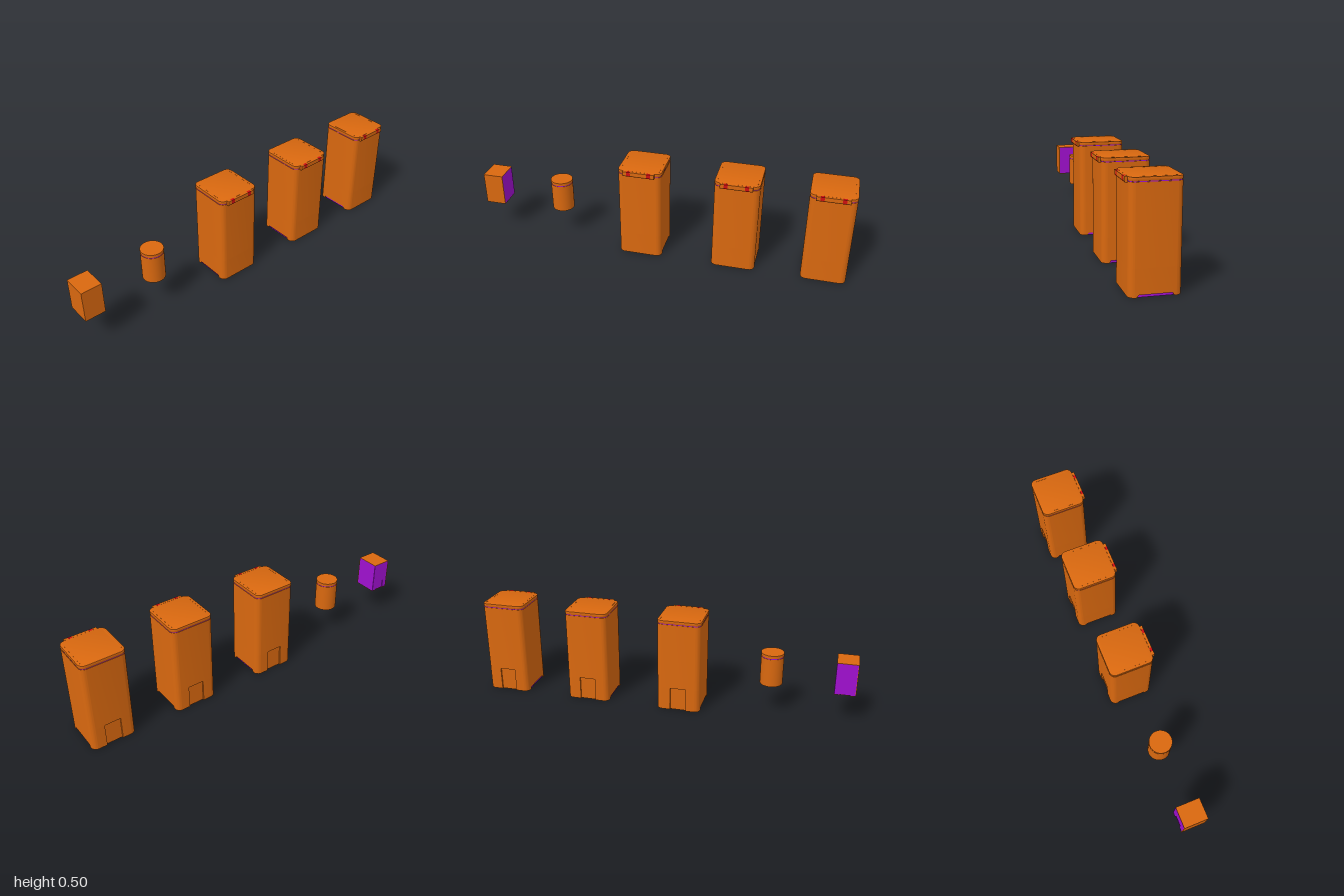
import * as THREE from 'three';
import { toCreasedNormals } from 'three/addons/utils/BufferGeometryUtils.js';

const orange = new THREE.MeshStandardMaterial({ color: 0xd9680f });
const purple = new THREE.MeshStandardMaterial({ color: 0xa010d0 });
const red = new THREE.MeshStandardMaterial({ color: 0xd01010 });

function add(group, name, geometry, material, x = 0, y = 0, z = 0) {
  const mesh = new THREE.Mesh(geometry, material);
  mesh.name = name;
  mesh.position.set(x, y, z);
  group.add(mesh);
  return mesh;
}

// Rounded rectangle plan; optional door recess at the back and notches in both sides.
// Shape +y becomes the back (-z).
function plan(w, d, r, { door = 0, doorDepth = 0, notch = 0, notchDepth = 0 } = {}) {
  const s = new THREE.Shape(), x = w / 2, y = d / 2, n = notch / 2, q = Math.PI / 2;
  s.moveTo(-x + r, -y);
  s.lineTo(x - r, -y);
  s.absarc(x - r, -y + r, r, -q, 0);
  if (notch) {
    s.lineTo(x, -n); s.lineTo(x - notchDepth, -n);
    s.lineTo(x - notchDepth, n); s.lineTo(x, n);
  }
  s.lineTo(x, y - r);
  s.absarc(x - r, y - r, r, 0, q);
  if (door) {
    s.lineTo(door / 2, y); s.lineTo(door / 2, y - doorDepth);
    s.lineTo(-door / 2, y - doorDepth); s.lineTo(-door / 2, y);
  }
  s.lineTo(-x + r, y);
  s.absarc(-x + r, y - r, r, q, 2 * q);
  if (notch) {
    s.lineTo(-x, n); s.lineTo(-x + notchDepth, n);
    s.lineTo(-x + notchDepth, -n); s.lineTo(-x, -n);
  }
  s.lineTo(-x, -y + r);
  s.absarc(-x + r, -y + r, r, 2 * q, 3 * q);
  return s;
}

// Upright slab of a plan, from y0 to y1.
function slab(shape, y0, y1) {
  const g = new THREE.ExtrudeGeometry(shape, { depth: y1 - y0, bevelEnabled: false, curveSegments: 8 });
  return g.rotateX(-Math.PI / 2).translate(0, y0, 0);
}

function makeBin(cx) {
  const bin = new THREE.Group();
  bin.name = 'tallBin';
  bin.position.set(cx, 0, -0.006);
  const W = 0.232, D = 0.232, R = 0.03;
  const door = { door: 0.085, doorDepth: 0.008 };
  const notch = { notch: 0.144, notchDepth: 0.008 };

  // Foot layer: the side notches widen towards the floor
  const foot = slab(plan(W, D, R, { ...door, ...notch }), 0, 0.013);
  const p = foot.attributes.position;
  for (let i = 0; i < p.count; i++) {
    const z = p.getZ(i);
    if (p.getY(i) < 0.001 && Math.abs(Math.abs(z) - 0.072) < 1e-4) p.setZ(i, Math.sign(z) * 0.081);
  }
  add(bin, 'foot', toCreasedNormals(foot, 0.6), orange);
  add(bin, 'lowerBody', toCreasedNormals(slab(plan(W, D, R, door), 0.013, 0.125), 0.6), orange);
  add(bin, 'upperBody', toCreasedNormals(slab(plan(W, D, R), 0.125, 0.483), 0.6), orange);

  // Coloured lining of the side notches
  const trapezoid = new THREE.Shape([[-0.081, 0], [0.081, 0], [0.072, 0.013], [-0.072, 0.013]]
    .map(([a, b]) => new THREE.Vector2(a, b)));
  for (const side of [-1, 1]) {
    const back = new THREE.ExtrudeGeometry(trapezoid, { depth: 0.002, bevelEnabled: false });
    back.rotateY(Math.PI / 2);
    add(bin, 'notchBack', back, purple, side * (W / 2 - 0.007) - 0.001);
    add(bin, 'notchCeiling', new THREE.BoxGeometry(0.008, 0.001, 0.144), purple, side * (W / 2 - 0.0042), 0.0124);
  }

  // Seam and lid
  add(bin, 'seam', toCreasedNormals(slab(plan(W - 0.004, D - 0.004, R - 0.002), 0.483, 0.487), 0.6), purple);
  const lid = new THREE.ExtrudeGeometry(plan(W - 0.004, D - 0.004, R - 0.002), {
    depth: 0.013, bevelEnabled: true, bevelThickness: 0.002, bevelSize: 0.002, bevelSegments: 2, curveSegments: 8,
  });
  lid.rotateX(-Math.PI / 2);
  add(bin, 'lid', toCreasedNormals(lid, 0.7), orange, 0, 0.4885, 0);
  for (const side of [-1, 1]) {
    add(bin, 'lidRib', new THREE.BoxGeometry(0.003, 0.002, 0.175), orange, side * 0.102, 0.503, 0);
  }

  // Front hinge bar: tapered section, orange with two red knuckles
  const section = new THREE.Shape([[0.11, 0.503], [0.11, 0.477], [0.119, 0.477], [0.123, 0.484], [0.123, 0.503]]
    .map(([z, y]) => new THREE.Vector2(z + 0.006, y)));
  for (const [a, b, mat, name] of [
    [-0.083, -0.063, orange, 'hingeBar'], [-0.063, -0.043, red, 'hingeKnuckle'],
    [-0.043, 0.043, orange, 'hingeBar'], [0.043, 0.063, red, 'hingeKnuckle'], [0.063, 0.083, orange, 'hingeBar'],
  ]) {
    const g = new THREE.ExtrudeGeometry(section, { depth: b - a, bevelEnabled: false });
    add(bin, name, g.rotateY(-Math.PI / 2), mat, b, 0, 0);
  }
  return bin;
}

// Round canister with a seam below its lid
function makeCanister() {
  const can = new THREE.Group();
  can.name = 'roundCanister';
  can.position.set(-0.567, 0, 0);
  for (const [name, r, y0, y1, mat] of [
    ['canBody', 0.059, 0.168, 0.321, orange],
    ['canSeam', 0.0575, 0.321, 0.326, purple],
    ['canLid', 0.059, 0.326, 0.341, orange],
  ]) add(can, name, new THREE.CylinderGeometry(r, r, y1 - y0, 48), mat, 0, (y0 + y1) / 2, 0);
  return can;
}

// Small box: two purple sides, the others orange, with a door recess at the back
function makeSmallBox() {
  const box = new THREE.Group();
  box.name = 'smallBox';
  box.position.set(-0.946, 0, 0.004);
  const w = 0.108, d = 0.126, r = 0.003;
  const door = { door: 0.052, doorDepth: 0.004 };
  add(box, 'boxBase', slab(plan(w, d, r, door), 0.168, 0.17), orange);
  add(box, 'boxLower', slab(plan(w, d, r, door), 0.17, 0.218), purple);
  add(box, 'boxUpper', slab(plan(w, d, r), 0.218, 0.339), purple);
  add(box, 'boxTop', slab(plan(w, d, r), 0.339, 0.341), orange);
  add(box, 'boxFront', new THREE.BoxGeometry(w, 0.172, 0.004), orange, 0, 0.2545, d / 2 - 0.0015);
  add(box, 'boxSide', new THREE.BoxGeometry(0.004, 0.172, d), orange, -w / 2 + 0.0015, 0.2545, 0);
  return box;
}

export function createModel() {
  const model = new THREE.Group();
  model.name = 'binSet';
  for (const x of [-0.095, 0.41, 0.882]) model.add(makeBin(x));
  model.add(makeCanister(), makeSmallBox());
  return model;
}
